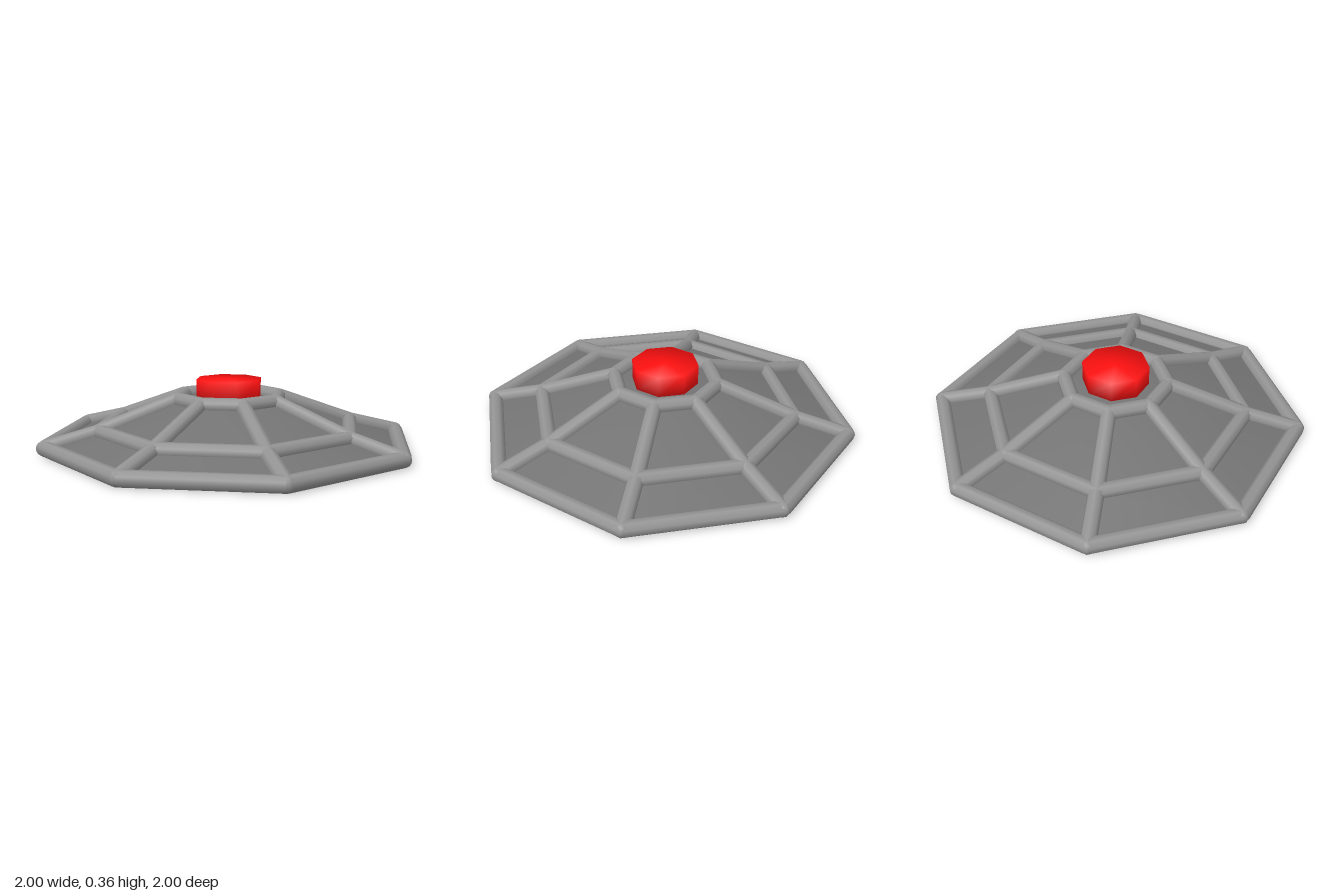
import * as THREE from 'three';
import { mergeVertices } from 'three/addons/utils/BufferGeometryUtils.js';

const SIDES = 8;
const TUBE = 0.04;

export function createModel() {
  const model = new THREE.Group();
  const frameGrey = new THREE.MeshStandardMaterial({ color: 0x949494 });
  const panelGrey = new THREE.MeshStandardMaterial({ color: 0x747474, side: THREE.DoubleSide });
  const red = new THREE.MeshStandardMaterial({ color: 0xff1010 });

  // Corner i of an octagon with a corner facing the front
  const corner = (ring, i) => {
    const a = (i / SIDES) * Math.PI * 2;
    return new THREE.Vector3(Math.sin(a) * ring.r, ring.y, Math.cos(a) * ring.r);
  };

  // Straight round bar between two points
  const bar = (name, a, b) => {
    const dir = b.clone().sub(a);
    const mesh = new THREE.Mesh(new THREE.CylinderGeometry(TUBE, TUBE, dir.length(), 8, 1, true), frameGrey);
    mesh.position.copy(a).add(b).multiplyScalar(0.5);
    mesh.quaternion.setFromUnitVectors(new THREE.Vector3(0, 1, 0), dir.normalize());
    mesh.name = name;
    return mesh;
  };

  const rings = [
    { name: 'outerRing', r: 0.96, y: 0.043 },
    { name: 'middleRing', r: 0.685, y: 0.113 },
    { name: 'innerRing', r: 0.275, y: 0.262 },
  ];

  // Octagonal rings of the frame, with a rounded joint closing each corner
  const jointGeometry = new THREE.SphereGeometry(TUBE, 8, 8);
  for (const ring of rings) {
    const group = new THREE.Group();
    group.name = ring.name;
    for (let i = 0; i < SIDES; i++) {
      const joint = new THREE.Mesh(jointGeometry, frameGrey);
      joint.position.copy(corner(ring, i));
      joint.name = 'ringJoint';
      group.add(joint, bar('ringBar', corner(ring, i), corner(ring, i + 1)));
    }
    model.add(group);
  }

  // Ribs running from the rim up to the inner ring
  const ribs = new THREE.Group();
  ribs.name = 'ribs';
  for (let i = 0; i < SIDES; i++) {
    for (let k = 0; k < 2; k++) ribs.add(bar('rib', corner(rings[k], i), corner(rings[k + 1], i)));
  }
  model.add(ribs);

  // Closed body filling the frame, softly shaded across its panels
  const profile = [
    [0, 0.02], [0.95, 0.02], [0.963, 0.035], [0.69, 0.108], [0.275, 0.257], [0, 0.257],
  ].map(([x, y]) => new THREE.Vector2(x, y));
  const body = new THREE.Mesh(new THREE.LatheGeometry(profile, SIDES), panelGrey);
  body.name = 'bodyPanels';
  model.add(body);

  // Red button on top, shaded smoothly over its edges
  const cylinder = new THREE.CylinderGeometry(0.175, 0.175, 0.115, SIDES);
  cylinder.deleteAttribute('normal');
  cylinder.deleteAttribute('uv');
  const buttonGeometry = mergeVertices(cylinder);
  buttonGeometry.computeVertexNormals();
  const button = new THREE.Mesh(buttonGeometry, red);
  button.position.y = 0.3075;
  button.name = 'topButton';
  model.add(button);

  return model;
}
